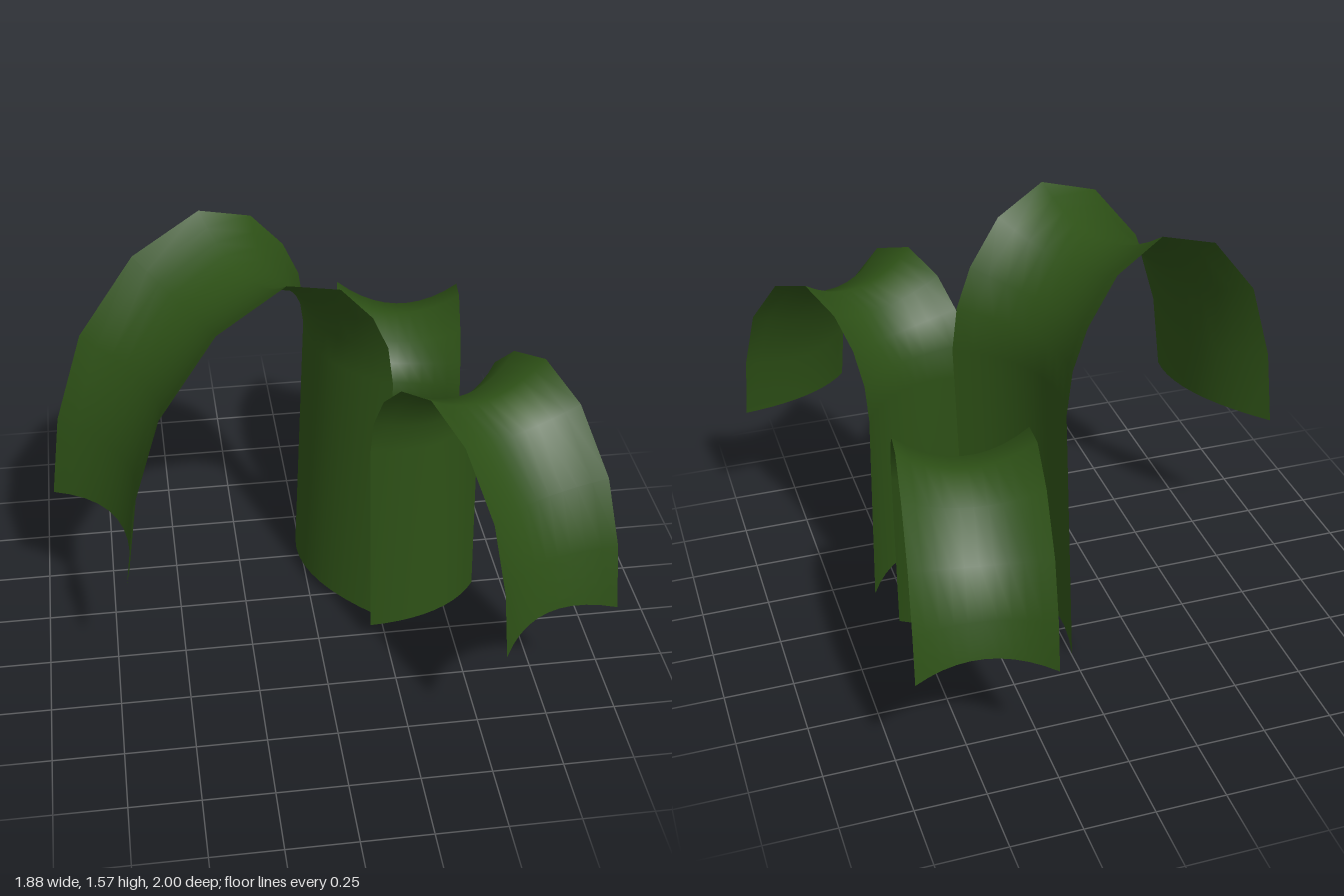
import * as THREE from 'three';

const material = new THREE.MeshStandardMaterial({ color: 0x2d5016, side: THREE.DoubleSide });
const ACROSS = 10;

// An arched leaf strip: profile is [distance along, height] from root to tip.
// The strip is swept across its width and its middle sinks toward the inside of the arch.
function archedLeaf({ name, origin, dir, width, profile, sag, lift }) {
  const d = new THREE.Vector2(...dir).normalize();
  const side = new THREE.Vector2(-d.y, d.x);
  const last = profile.length - 1;
  const positions = [], index = [];

  profile.forEach(([s, y], i) => {
    // inward normal of the arch, from the neighbouring profile points
    const a = profile[Math.max(i - 1, 0)], b = profile[Math.min(i + 1, last)];
    const t = new THREE.Vector2(b[0] - a[0], b[1] - a[1]).normalize();
    const endLift = i === 0 ? lift[0] : i === last ? lift[1] : 0;
    for (let j = 0; j <= ACROSS; j++) {
      const v = (j / ACROSS) * 2 - 1;
      const dip = 1 - v * v;
      const along = s + t.y * sag * dip;
      const height = y - t.x * sag * dip + endLift * dip;
      const w = (v * width) / 2;
      positions.push(origin[0] + d.x * along + side.x * w, height, origin[1] + d.y * along + side.y * w);
      if (i < last && j < ACROSS) {
        const k = i * (ACROSS + 1) + j, n = k + ACROSS + 1;
        index.push(k, n, k + 1, k + 1, n, n + 1);
      }
    }
  });

  const geometry = new THREE.BufferGeometry();
  geometry.setAttribute('position', new THREE.Float32BufferAttribute(positions, 3));
  // wind the strip so that its outer side is the front
  geometry.setIndex(index.reverse());
  geometry.computeVertexNormals();
  const mesh = new THREE.Mesh(geometry, material);
  mesh.name = name;
  return mesh;
}

export function createModel() {
  const group = new THREE.Group();
  group.name = 'archedLeaves';

  group.add(
    // tall leaf arching to the right
    archedLeaf({
      name: 'tallLeaf', origin: [0.155, -0.145], dir: [-0.917, 0.397], width: 0.604,
      sag: 0.112, lift: [0.035, 0.05],
      profile: [[0.04, 0], [0, 1.04], [0.025, 1.2], [0.09, 1.34], [0.22, 1.49],
        [0.425, 1.565], [0.687, 1.46], [0.905, 1.21], [1.015, 0.9], [1.058, 0.595]],
    }),
    // medium leaf arching to the front
    archedLeaf({
      name: 'frontLeaf', origin: [0.392, 0.158], dir: [0.415, 0.91], width: 0.468,
      sag: 0.083, lift: [0.025, 0.035],
      profile: [[0.028, 0.07], [0, 0.85], [0.016, 0.98], [0.071, 1.1], [0.17, 1.2],
        [0.335, 1.257], [0.527, 1.185], [0.698, 0.99], [0.78, 0.76], [0.813, 0.52]],
    }),
    // low leaf arching to the back
    archedLeaf({
      name: 'backLeaf', origin: [0.35, -0.175], dir: [0.162, -0.987], width: 0.465,
      sag: 0.08, lift: [0.02, 0.03],
      profile: [[0.03, 0.12], [0, 0.72], [0.012, 0.81], [0.057, 0.9], [0.145, 0.98],
        [0.325, 1.03], [0.517, 0.97], [0.69, 0.82], [0.77, 0.63], [0.8, 0.458]],
    }),
  );
  return group;
}
